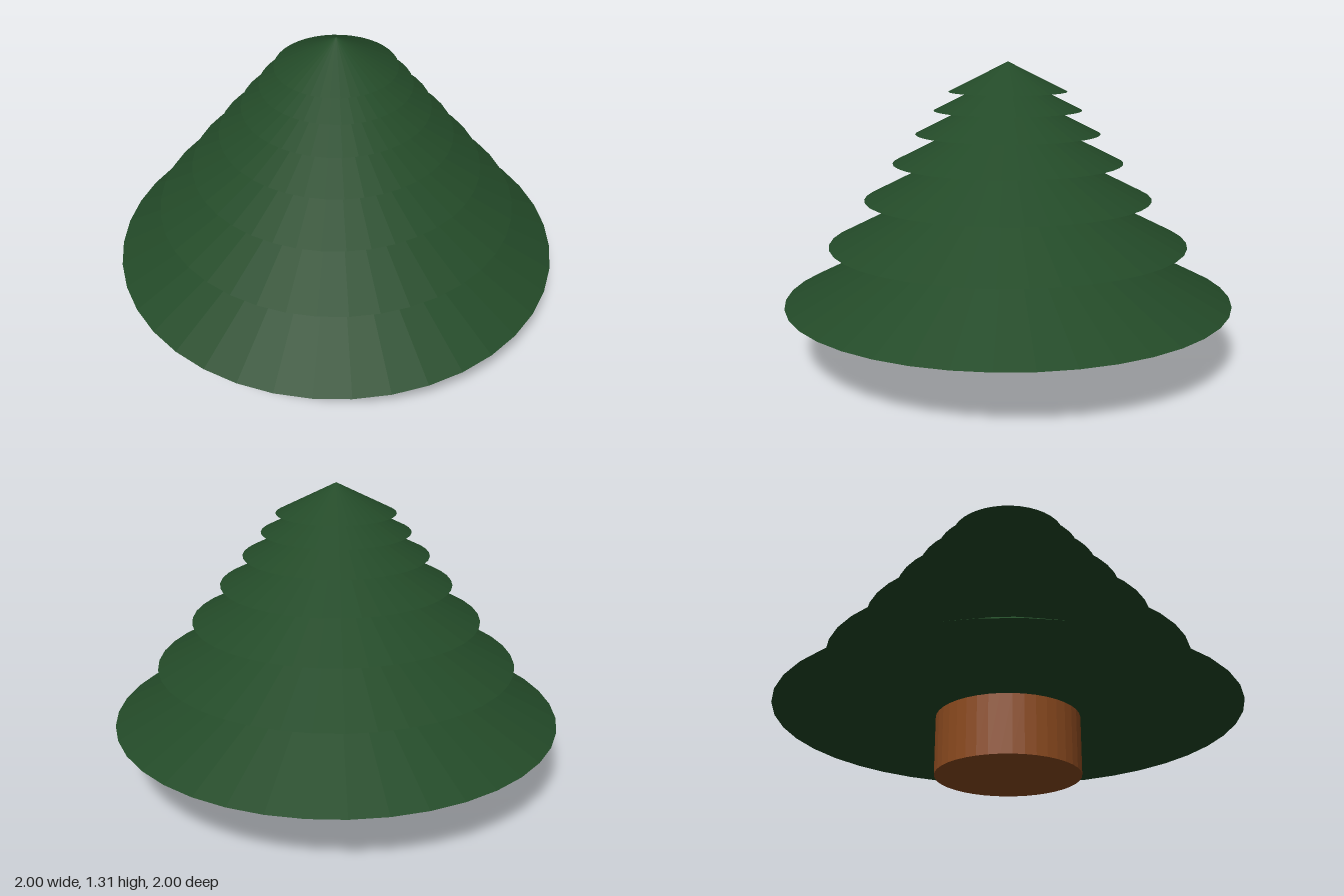
import * as THREE from 'three';

const SIDES = 40;

export function createModel() {
  const tree = new THREE.Group();
  tree.name = 'tree';
  const bark = new THREE.MeshStandardMaterial({ color: 0x8f4c20, flatShading: true });
  const needles = new THREE.MeshStandardMaterial({ color: 0x234a28, flatShading: true });

  // Short round trunk
  const trunkHeight = 0.255;
  const trunk = new THREE.Mesh(new THREE.CylinderGeometry(0.3125, 0.3125, trunkHeight, SIDES), bark);
  trunk.name = 'trunk';
  trunk.position.y = trunkHeight / 2;
  tree.add(trunk);

  // Stacked cones, each 0.8 times the one below and starting halfway up it
  let radius = 1;
  let base = trunkHeight;
  for (let i = 1; i <= 7; i++) {
    const height = radius / 2;
    const tier = new THREE.Mesh(new THREE.ConeGeometry(radius, height, SIDES), needles);
    tier.name = `branchTier${i}`;
    tier.position.y = base + height / 2;
    tree.add(tier);
    base += height / 2;
    radius *= 0.8;
  }
  return tree;
}
